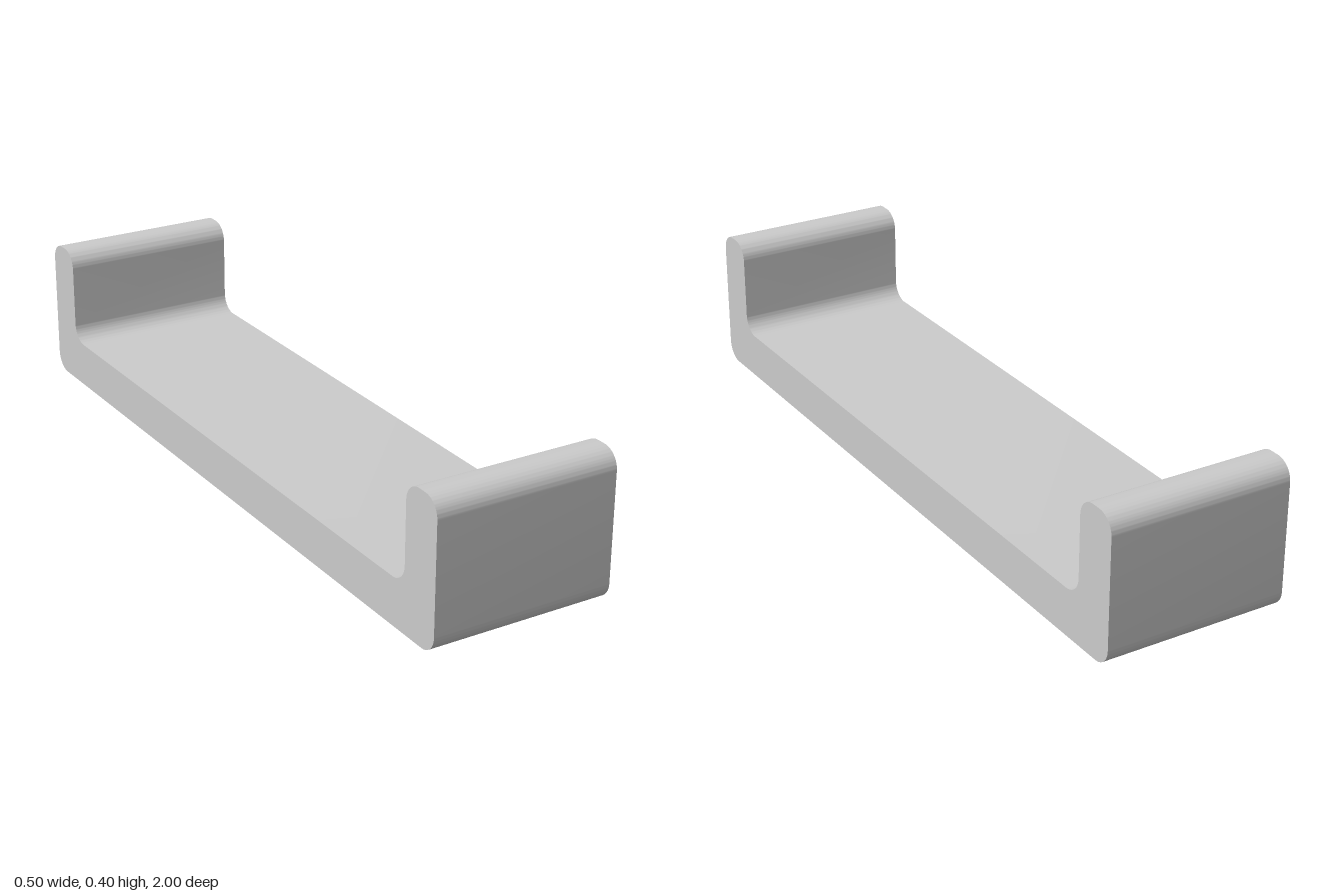
import * as THREE from 'three';
import { toCreasedNormals } from 'three/addons/utils/BufferGeometryUtils.js';

const HALF = 1, HEIGHT = 0.395, ARM = 0.124, BASE = 0.128, WIDTH = 0.5, R = 0.05;

// Side profile of the bracket, counterclockwise, every corner rounded
function bracketProfile() {
  const s = new THREE.Shape();
  const q = Math.PI / 2, inner = HALF - ARM;
  // centre x, centre y, start angle in quarter turns, inside corner?
  const corners = [
    [HALF - R, R, -1, false],
    [HALF - R, HEIGHT - R, 0, false],
    [inner + R, HEIGHT - R, 1, false],
    [inner - R, BASE + R, 0, true],
    [-inner + R, BASE + R, -1, true],
    [-inner - R, HEIGHT - R, 0, false],
    [-HALF + R, HEIGHT - R, 1, false],
    [-HALF + R, R, 2, false],
  ];
  for (const [x, y, a, inside] of corners) {
    s.absarc(x, y, R, a * q, (a + (inside ? -1 : 1)) * q, inside);
  }
  s.closePath();
  return s;
}

export function createModel() {
  const group = new THREE.Group();
  group.name = 'bracket';

  // Flat base with two upturned ends, extruded across the width
  const extruded = new THREE.ExtrudeGeometry(bracketProfile(), {
    depth: WIDTH, bevelEnabled: false, curveSegments: 12,
  });
  extruded.translate(0, 0, -WIDTH / 2);
  extruded.rotateY(Math.PI / 2);

  const body = new THREE.Mesh(
    toCreasedNormals(extruded, 0.6),
    new THREE.MeshStandardMaterial({ color: 0xcccccc })
  );
  body.name = 'uShapedBody';
  group.add(body);
  return group;
}
